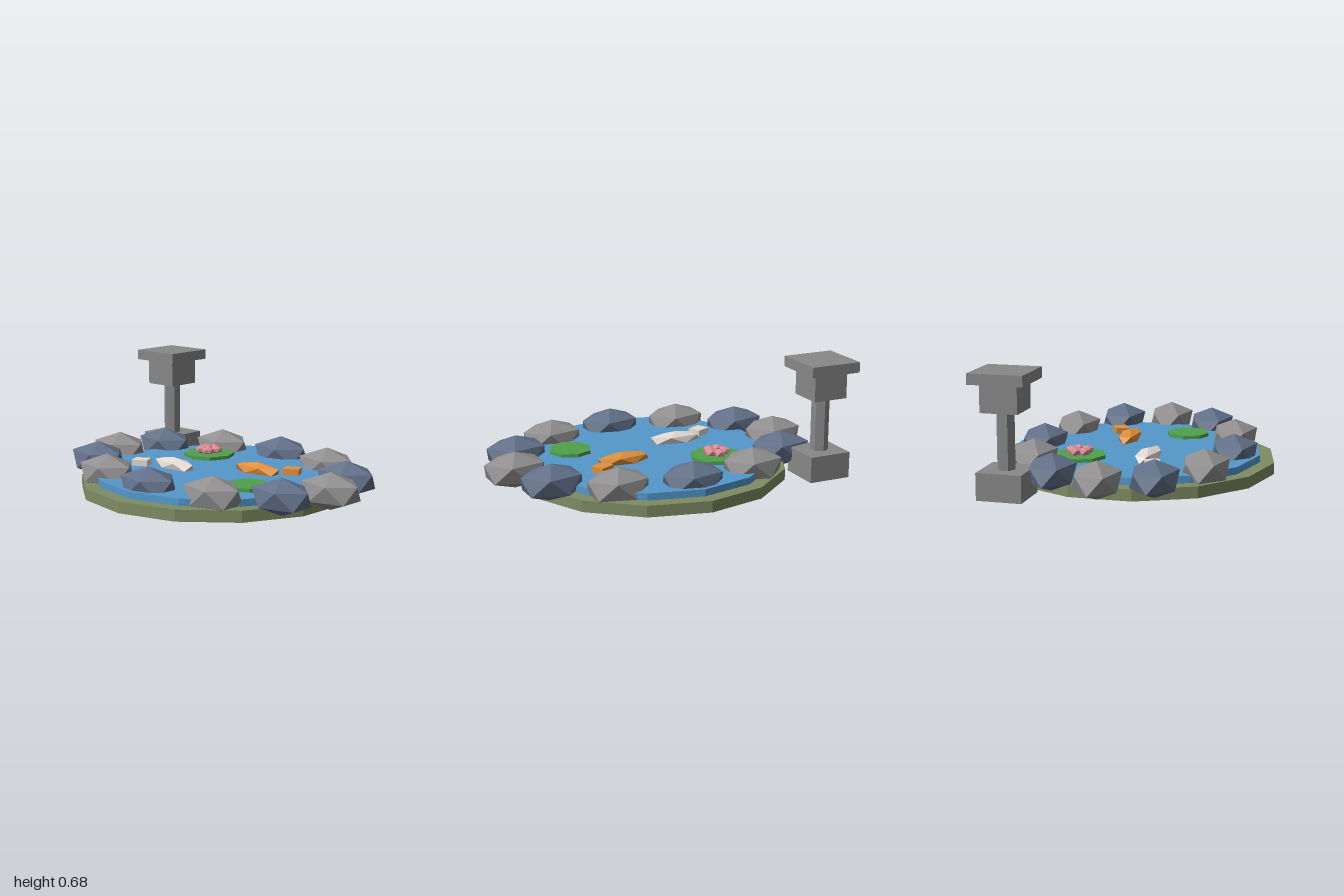
import * as THREE from 'three';

const mat = (name, color) => {
  const m = new THREE.MeshStandardMaterial({ color, flatShading: true });
  m.name = name;
  return m;
};

export function createModel() {
  const group = new THREE.Group();
  const olive = mat('mossy bank', 0x7f8c63);
  const water = mat('water blue', 0x5499cb);
  const grey = mat('grey rock', 0x918f8f);
  const slate = mat('slate rock', 0x627089);
  const stone = mat('lantern stone', 0x888888);
  const green = mat('lily green', 0x50a04c);
  const pink = mat('petal pink', 0xd98c92);
  const orange = mat('orange fish', 0xe0913a);
  const cream = mat('pale fish', 0xe2dad2);

  const add = (name, geo, material, x, y, z, parent = group) => {
    const mesh = new THREE.Mesh(geo, material);
    mesh.name = name;
    mesh.position.set(x, y, z);
    parent.add(mesh);
    return mesh;
  };
  // faceted blob with one vertex straight up, and given radii
  const blob = (rx, ry, rz) =>
    new THREE.IcosahedronGeometry(1, 0)
      .rotateZ(-Math.atan(2 / (1 + Math.sqrt(5))))
      .scale(rx, ry, rz);

  // bank and water
  add('bank', new THREE.CylinderGeometry(0.795, 0.795, 0.065, 14), olive, 0, 0.0325, 0);
  add('water', new THREE.CylinderGeometry(0.715, 0.715, 0.045, 14), water, 0, 0.0825, 0);

  // ring of alternating rocks
  const rockGeo = blob(0.199, 0.105, 0.145);
  for (let i = 0; i < 12; i++) {
    const a = (i * Math.PI) / 6;
    add('rock', rockGeo, i % 2 ? slate : grey, 0.82 * Math.cos(a), 0.115, 0.565 * Math.sin(a));
  }

  // stone lantern
  const lantern = new THREE.Group();
  lantern.name = 'lantern';
  lantern.position.set(-0.847, 0, -0.488);
  group.add(lantern);
  const slab = (name, w, y0, y1) =>
    add(name, new THREE.BoxGeometry(w, y1 - y0, w), stone, 0, (y0 + y1) / 2, 0, lantern);
  slab('lanternFoot', 0.252, 0, 0.15);
  add('lanternPost', new THREE.CylinderGeometry(0.051, 0.051, 0.32, 6), stone, 0, 0.307, 0, lantern);
  slab('lanternHouse', 0.207, 0.465, 0.62);
  slab('lanternCap', 0.305, 0.62, 0.68);

  // lily pads
  add('lilyPad', new THREE.CylinderGeometry(0.152, 0.152, 0.02, 8), green, -0.307, 0.115, -0.255);
  add('lilyPad', new THREE.CylinderGeometry(0.126, 0.126, 0.02, 8), green, 0.408, 0.115, 0.203);

  // flower
  const petalGeo = blob(0.04, 0.025, 0.04);
  for (let i = 0; i < 5; i++) {
    const a = -Math.PI / 2 + (i * Math.PI * 2) / 5;
    add('petal', petalGeo, pink, -0.307 + 0.045 * Math.cos(a), 0.145, -0.255 + 0.045 * Math.sin(a));
  }
  add('flowerHeart', blob(0.022, 0.022, 0.022), pink, -0.307, 0.155, -0.255);

  // fish: long body and a small turned tail block
  const fish = (material, x, z, turn, tailX, tailZ) => {
    add('fishBody', blob(0.176, 0.042, 0.066), material, x, 0.124, z).rotation.y = turn;
    add('fishTail', new THREE.BoxGeometry(0.094, 0.036, 0.078), material, tailX, 0.122, tailZ).rotation.y = 0.47;
  };
  fish(orange, 0.208, -0.105, 0.03, 0.38, -0.209);
  fish(cream, -0.232, 0.125, -0.08, -0.427, 0.2);

  return group;
}
